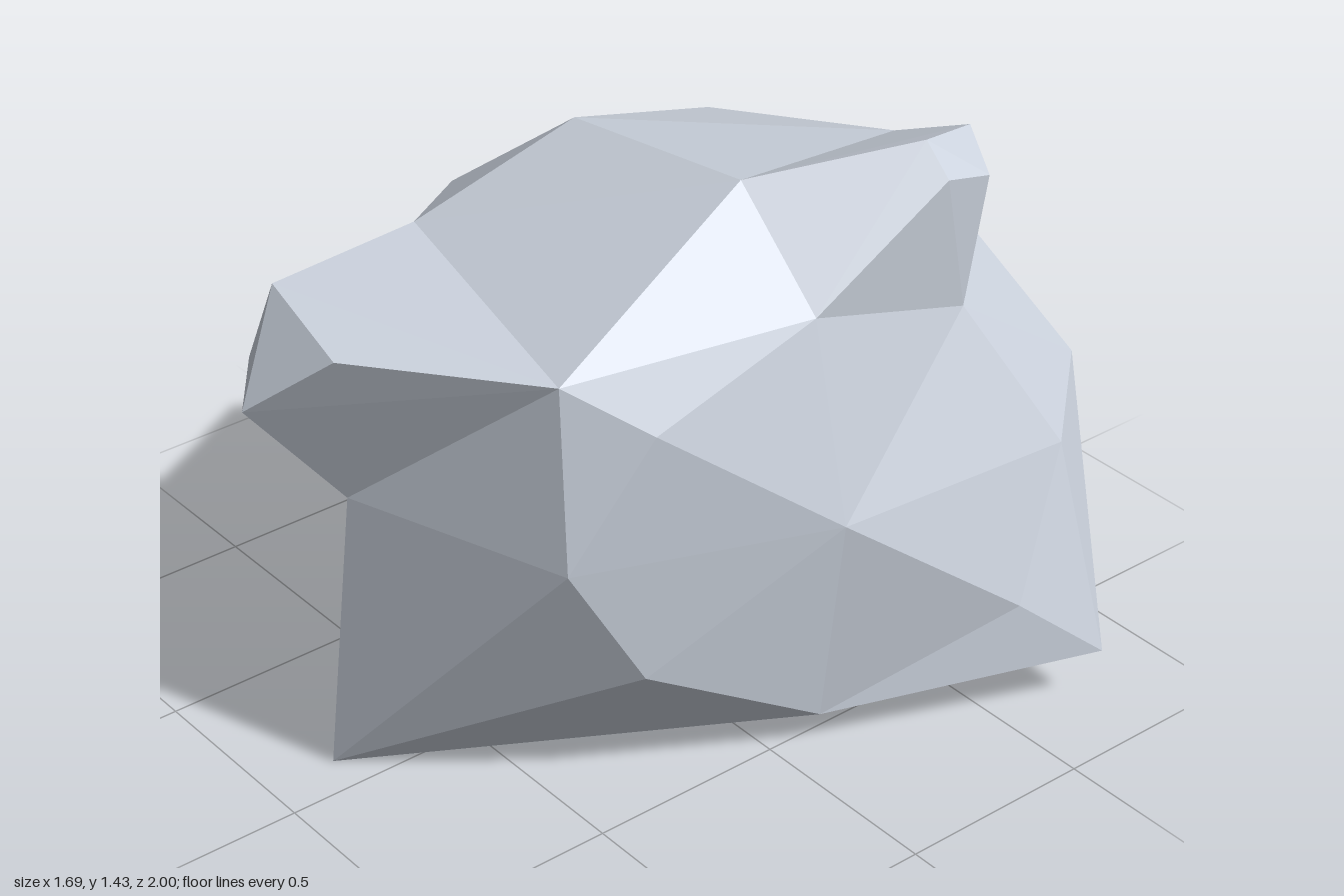
import * as THREE from 'three';

// Three eight-point rings around the x axis, from the left side to the right
const leftRing = [[0.505, 1.0, 0.35], [0.435, 0.68, 0.54], [0.47, 0.345, 0.35], [0.56, 0.09, -0.1],
  [0.745, 0.3, -0.55], [0.665, 0.64, -0.735], [0.505, 1.0, -0.55], [0.505, 1.13, -0.1]];
const middleRing = [[0.405, 1.145, 0.535], [-0.02, 0.765, 0.8], [-0.105, 0, 0.82], [0.33, 0.05, -0.1],
  [0.845, 0.145, -0.735], [0.43, 0.68, -1.0], [0.06, 1.21, -0.735], [0.245, 1.365, -0.1]];
const rightRing = [[-0.37, 1.155, 0.35], [-0.34, 0.82, 0.535], [-0.465, 0.52, 0.35], [-0.565, 0.405, -0.1],
  [-0.42, 0.515, -0.55], [-0.28, 0.81, -0.735], [-0.4, 1.15, -0.55], [-0.35, 1.285, -0.1]];
const leftTip = [0.625, 0.645, -0.1];
const rightTip = [-0.845, 0.915, -0.1];

// Outer ends of the three facets that are pulled out into knobs
const frontKnob = [[0.075, 1.185, 0.88], [-0.275, 1.195, 0.8], [-0.26, 1.045, 0.88], [-0.11, 1.02, 1.0]];
const topKnob = [[0.525, 1.33, -0.59], [0.4, 1.39, -0.645], [0.458, 1.435, -0.455], [0.535, 1.365, -0.455]];
const sideKnob = [[-0.835, 0.69, -0.3], [-0.625, 0.5, -0.51], [-0.71, 0.455, -0.29]];

// True when corner d lies behind the plane of a, b and c
function isBehind(a, b, c, d) {
  const [ab, ac, ad] = [b, c, d].map((p) => new THREE.Vector3(p[0] - a[0], p[1] - a[1], p[2] - a[2]));
  return ab.cross(ac).dot(ad) <= 0;
}

export function createModel() {
  const positions = [];
  const tri = (a, b, c) => positions.push(...a, ...b, ...c);

  // Facet of three or four corners; a quad is split so that its crease bulges outward
  const facet = (a, b, c, d) => {
    if (!d) {
      tri(a, b, c);
    } else if (isBehind(a, b, c, d)) {
      tri(a, b, c);
      tri(a, c, d);
    } else {
      tri(a, b, d);
      tri(b, c, d);
    }
  };

  // Facet pulled out to a smaller end
  const knob = (base, end) => {
    base.forEach((p, i) => {
      const j = (i + 1) % base.length;
      facet(p, base[j], end[j], end[i]);
    });
    facet(...end);
  };

  for (let i = 0; i < 8; i++) {
    const j = (i + 1) % 8;
    facet(leftTip, leftRing[i], leftRing[j]);

    const leftBand = [leftRing[i], middleRing[i], middleRing[j], leftRing[j]];
    if (i === 6) knob(leftBand, topKnob);
    else facet(...leftBand);

    const rightBand = [middleRing[i], rightRing[i], rightRing[j], middleRing[j]];
    if (i === 0) knob(rightBand, frontKnob);
    else facet(...rightBand);

    const rightFan = [rightTip, rightRing[j], rightRing[i]];
    if (i === 3) knob(rightFan, sideKnob);
    else facet(...rightFan);
  }

  const geometry = new THREE.BufferGeometry();
  geometry.setAttribute('position', new THREE.Float32BufferAttribute(positions, 3));
  geometry.computeVertexNormals();

  const stone = new THREE.MeshStandardMaterial({ color: 0xcad1dc, flatShading: true });
  stone.name = 'stoneGrey';
  const rock = new THREE.Mesh(geometry, stone);
  rock.name = 'rock';

  const group = new THREE.Group();
  group.name = 'boulder';
  group.add(rock);
  return group;
}
